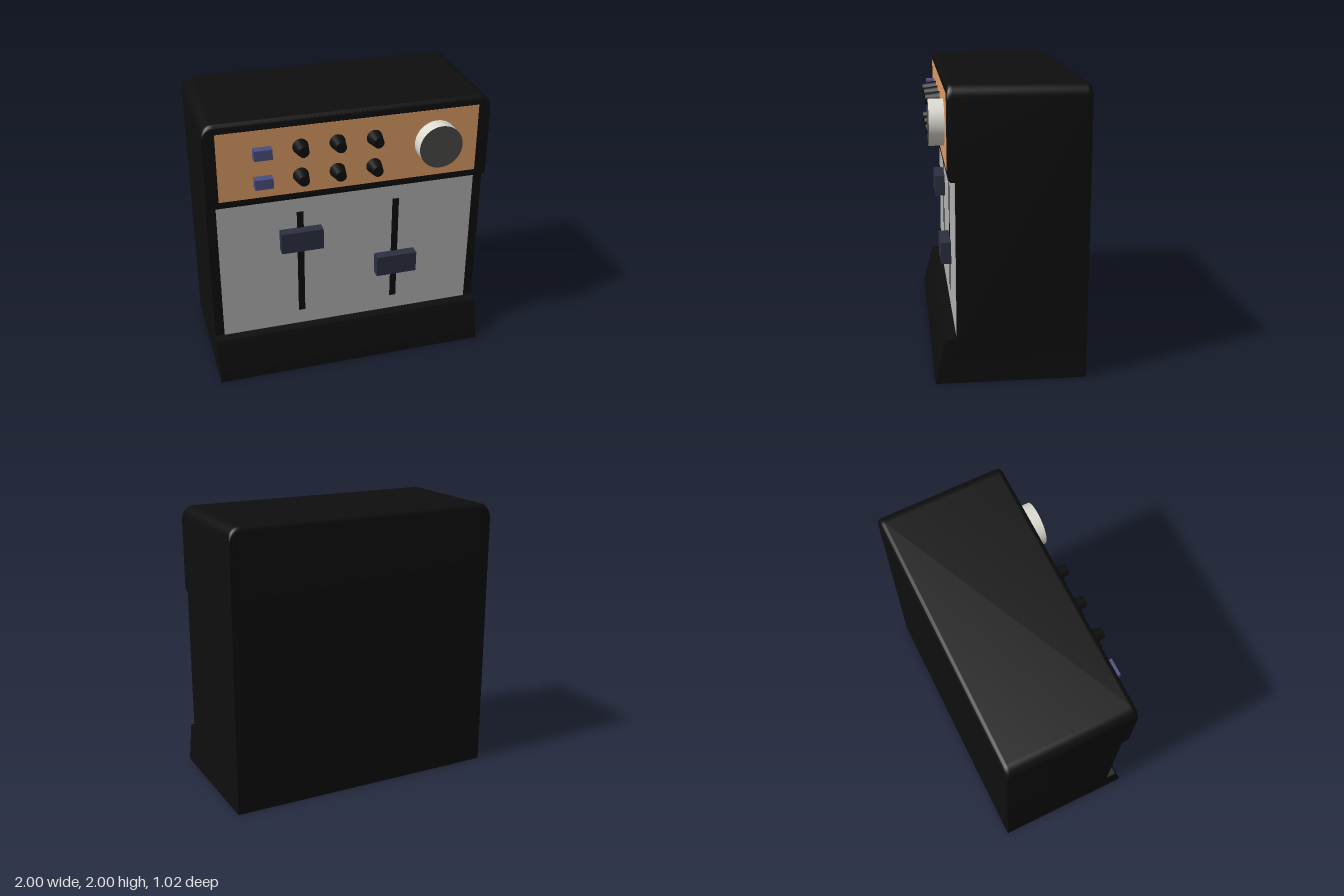
import * as THREE from 'three';
import { toCreasedNormals } from 'three/addons/utils/BufferGeometryUtils.js';

const mat = (color) => new THREE.MeshStandardMaterial({ color });
const black = mat(0x0e0e0e);
const orange = mat(0xdd9c64);
const grey = mat(0xb2b2b2);
const blue = mat(0x4a4f80);
const slate = mat(0x2c3040);
const cream = mat(0xdedcd2);
const charcoal = mat(0x4a4a46);

export function createModel() {
  const model = new THREE.Group();

  const add = (name, geometry, material, x = 0, y = 0, z = 0) => {
    const mesh = new THREE.Mesh(geometry, material);
    mesh.name = name;
    mesh.position.set(x, y, z);
    model.add(mesh);
    return mesh;
  };
  // Box given by its limits on each axis
  const box = (name, material, x0, x1, y0, y1, z0, z1) =>
    add(name, new THREE.BoxGeometry(x1 - x0, y1 - y0, z1 - z0), material,
      (x0 + x1) / 2, (y0 + y1) / 2, (z0 + z1) / 2);
  // Cylinder facing forward from z0 to z1
  const disc = (name, material, rBack, rFront, x, y, z0, z1, sides) =>
    add(name, new THREE.CylinderGeometry(rFront, rBack, z1 - z0, sides).rotateX(Math.PI / 2),
      material, x, y, (z0 + z1) / 2);

  add('cabinet', cabinetGeometry(), black);

  // Front panels
  box('controlPanel', orange, -0.915, 0.915, 1.44, 1.935, 0.38, 0.414);
  box('faderPanel', grey, -0.933, 0.933, 0.315, 1.38, 0.33, 0.365);

  // Faders: a slot with a cap
  for (const [x, y] of [[-0.35, 1.057], [0.35, 0.747]]) {
    box('faderSlot', black, x - 0.024, x + 0.024, 0.43, 1.26, 0.35, 0.368);
    box('faderCap', slate, x - 0.15, x + 0.15, y - 0.078, y + 0.078, 0.35, 0.437);
  }

  // Push buttons and tapered knobs in two rows
  for (const y of [1.785, 1.572]) {
    box('pushButton', blue, -0.675, -0.55, y - 0.055 + 0.012, y + 0.03, 0.4, 0.475);
    for (const x of [-0.35, -0.095, 0.165]) {
      disc('knob', black, 0.056, 0.037, x, y, 0.41, 0.515, 24);
    }
  }

  // Large dial with a dark face
  const dial = disc('dial', cream, 0.155, 0.155, 0.612, 1.7, 0.4, 0.515, 40);
  dial.material = [cream, charcoal, charcoal];

  return model;
}

// Side profile swept across the width, its top lowered toward each end to round the corners
function cabinetGeometry() {
  const r = 0.035, back = -0.51, front = 0.412, mid = 0.362;
  const s = new THREE.Shape();
  s.moveTo(back, 0);
  s.lineTo(0.51, 0);
  s.lineTo(0.51, 0.01);
  s.lineTo(0.437, 0.315);
  s.lineTo(mid, 0.315);
  s.lineTo(mid, 1.38);
  s.lineTo(front - r, 1.38);
  s.quadraticCurveTo(front, 1.38, front, 1.38 + r);
  s.lineTo(front, 2 - r);
  s.absarc(front - r, 2 - r, r, 0, Math.PI / 2, false);
  s.absarc(back + r, 2 - r, r, Math.PI / 2, Math.PI, false);
  s.closePath();

  const corner = 0.08, arc = 8, steps = arc * 2 + 1;
  const g = new THREE.ExtrudeGeometry(s, { depth: steps, steps, bevelEnabled: false, curveSegments: 8 });
  const p = g.attributes.position;
  for (let i = 0; i < p.count; i++) {
    const row = Math.round(p.getZ(i));
    const left = row <= arc;
    const a = ((left ? row : steps - row) / arc) * Math.PI / 2;
    const x = 1 - corner * (1 - Math.cos(a));
    const drop = p.getY(i) > 1.9 ? corner * (1 - Math.sin(a)) : 0;
    p.setXYZ(i, left ? x : -x, p.getY(i) - drop, p.getX(i));
  }
  g.deleteAttribute('uv');
  return toCreasedNormals(g, 0.6);
}
